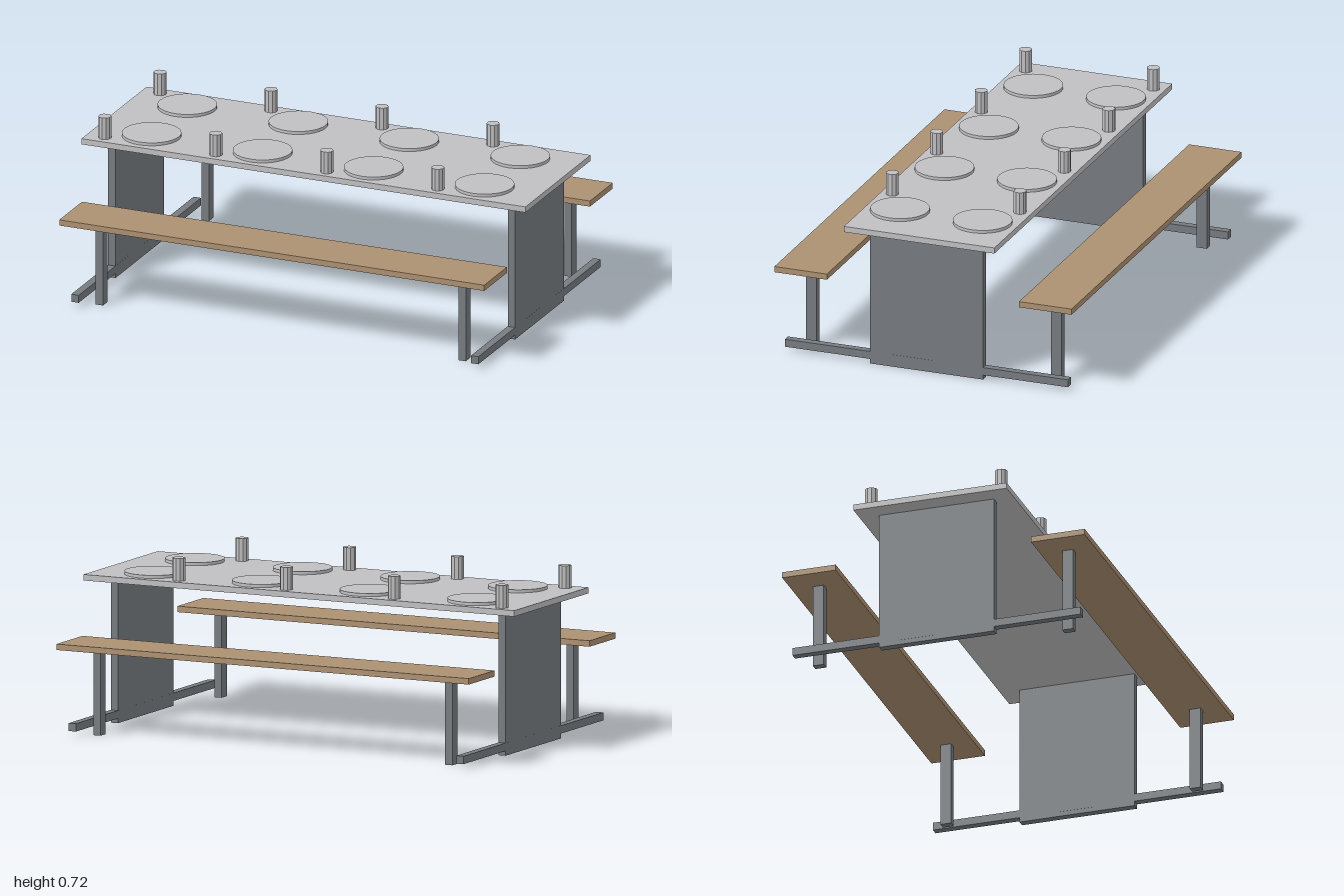
import * as THREE from 'three';

export function createModel() {
  const model = new THREE.Group();
  model.name = 'picnicTable';

  const mat = (name, color) => {
    const m = new THREE.MeshStandardMaterial({ color });
    m.name = name;
    return m;
  };
  const lightSteel = mat('lightSteel', 0xc0c0c2);
  const darkSteel = mat('darkSteel', 0x777c80);
  const wood = mat('wood', 0xad9172);

  const add = (name, geometry, material, x, y, z) => {
    const mesh = new THREE.Mesh(geometry, material);
    mesh.name = name;
    mesh.position.set(x, y, z);
    model.add(mesh);
  };
  // Box given by its size, with its underside at height y
  const box = (name, material, w, h, d, x, y, z) =>
    add(name, new THREE.BoxGeometry(w, h, d), material, x, y + h / 2, z);

  box('tableTop', lightSteel, 2, 0.025, 0.667, 0, 0.6, 0);

  // End panels and the long foot rails crossing them
  for (const side of [-1, 1]) {
    box('endPanel', darkSteel, 0.033, 0.6, 0.5, side * 0.9, 0, 0);
    box('footRail', darkSteel, 0.0335, 0.033, 1.254, side * 0.9, 0.02, 0);
  }

  const plate = new THREE.CylinderGeometry(0.123, 0.123, 0.013, 32);
  const cup = new THREE.CylinderGeometry(0.027, 0.027, 0.095, 10).toNonIndexed();
  cup.computeVertexNormals();

  for (const side of [-1, 1]) {
    // Bench plank on two posts
    box('benchSeat', wood, 1.914, 0.025, 0.233, 0, 0.36, side * 0.542);
    for (const end of [-1, 1]) {
      box('benchPost', darkSteel, 0.033, 0.36, 0.047, end * 0.817, 0, side * 0.543);
    }
    // Four place settings along each long edge
    for (let i = 0; i < 4; i++) {
      const x = -0.75 + i * 0.5;
      add('plate', plate, lightSteel, x, 0.6315, side * 0.183);
      add('cup', cup, lightSteel, x - 0.167, 0.6725, side * 0.283);
    }
  }
  return model;
}
